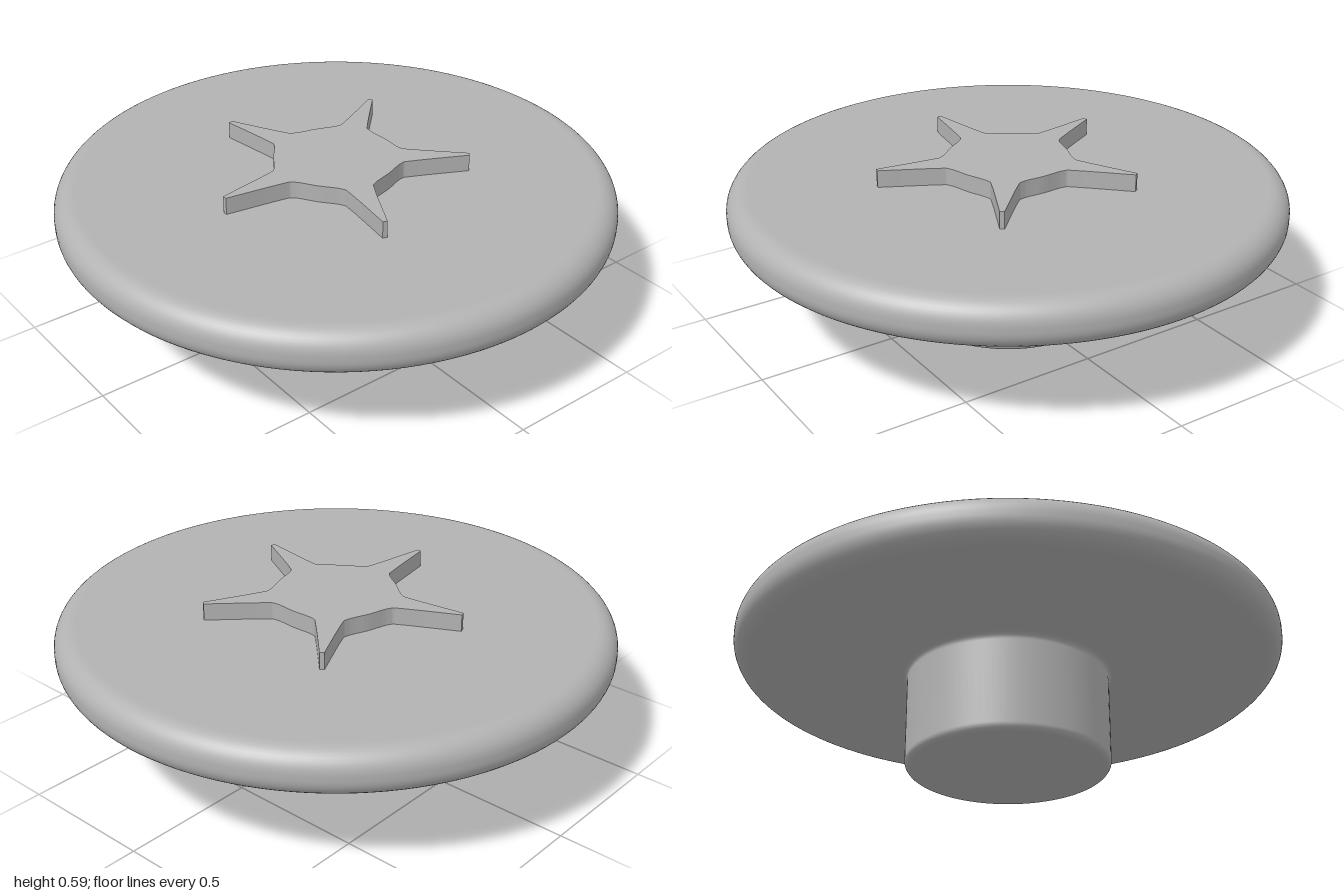
import * as THREE from 'three';

const V = (x, y) => new THREE.Vector2(x, y);

// Points of an arc, in degrees, framed by close points so the flats stay flat
function arc(cx, cy, r, from, to, steps = 10) {
  const pts = [];
  for (let i = 0; i <= steps; i++) {
    const a = THREE.MathUtils.degToRad(from + (to - from) * i / steps);
    pts.push(V(cx + r * Math.cos(a), cy + r * Math.sin(a)));
  }
  const extend = (a, b) => a.clone().add(a.clone().sub(b).setLength(0.004));
  return [extend(pts[0], pts[1]), ...pts, extend(pts[steps], pts[steps - 1])];
}

export function createModel() {
  const group = new THREE.Group();
  const grey = new THREE.MeshStandardMaterial({ color: 0xb2b2b2 });
  grey.name = 'plain grey';

  const add = (name, geometry) => {
    const mesh = new THREE.Mesh(geometry, grey);
    mesh.name = name;
    group.add(mesh);
  };

  // Stem with a rounded foot and a small fillet under the disc
  add('stem', new THREE.LatheGeometry([
    V(0, 0),
    V(0.33, 0),
    ...arc(0.345, 0.025, 0.025, -90, 0).slice(1, -1),
    V(0.37, 0.03),
    V(0.37, 0.335),
    ...arc(0.39, 0.34, 0.02, 180, 90, 6).slice(1, -1),
  ], 96));

  // Wide disc with a rounded rim
  add('disc', new THREE.LatheGeometry([
    V(0, 0.36),
    V(0.9, 0.36),
    ...arc(0.925, 0.435, 0.075, -90, 0).slice(1, -1),
    ...arc(0.925, 0.452, 0.075, 0, 90).slice(1, -1),
    V(0.9, 0.527),
    V(0, 0.527),
  ], 128));

  // Raised star: five narrow points joined by softly curved notches
  const shape = new THREE.Shape();
  const polar = (r, deg) => {
    const a = THREE.MathUtils.degToRad(deg);
    return V(r * Math.cos(a), r * Math.sin(a));
  };
  const start = polar(0.475, -91);
  shape.moveTo(start.x, start.y);
  for (let i = 0; i < 5; i++) {
    const tip = -90 + i * 72;
    const end = polar(0.475, tip + 1);
    const next = polar(0.475, tip + 71);
    const a = polar(0.275, tip + 9), b = polar(0.235, tip + 15), mid = polar(0.222, tip + 36);
    const c = polar(0.235, tip + 57), d = polar(0.275, tip + 63);
    shape.lineTo(end.x, end.y);
    shape.splineThru([a, b, mid, c, d, next]);
  }
  const star = new THREE.ExtrudeGeometry(shape, { depth: 0.075, bevelEnabled: false, curveSegments: 4 });
  star.rotateX(-Math.PI / 2);
  star.translate(0, 0.515, 0);
  add('star', star);

  return group;
}
